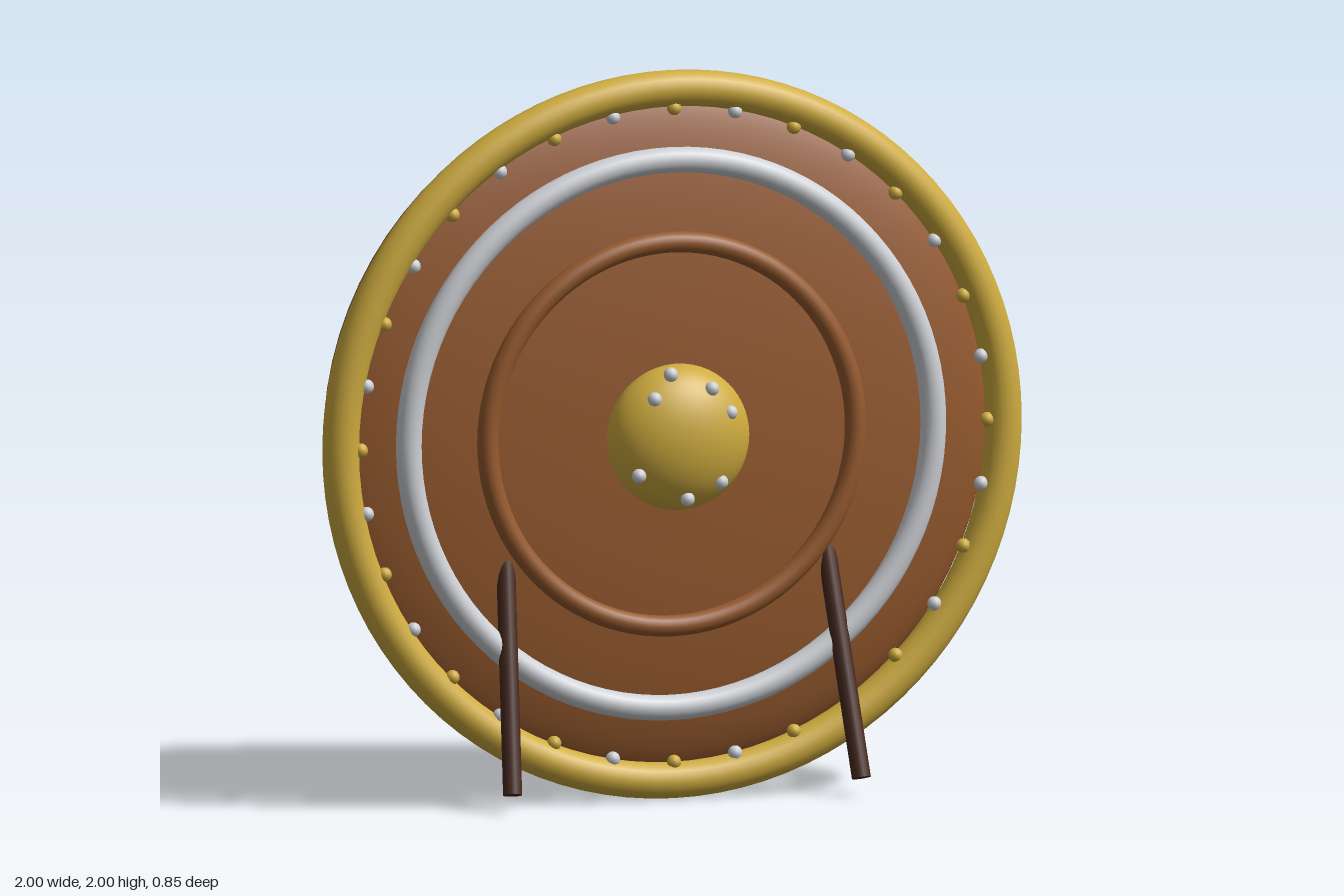
import * as THREE from 'three';

const material = (name, color) => {
  const m = new THREE.MeshStandardMaterial({ color });
  m.name = name;
  return m;
};

export function createModel() {
  const wood = material('wood', 0x965a2e);
  const darkWood = material('darkWood', 0x47291f);
  const gold = material('gold', 0xcfac3f);
  const silver = material('silver', 0xcdd0d5);

  const model = new THREE.Group();
  model.name = 'shieldOnStand';

  // Everything on the shield is placed relative to its centre, 1 above the ground
  const shield = new THREE.Group();
  shield.name = 'shield';
  shield.position.y = 1;
  model.add(shield);

  const add = (parent, name, geometry, mat, x = 0, y = 0, z = 0) => {
    const mesh = new THREE.Mesh(geometry, mat);
    mesh.name = name;
    mesh.position.set(x, y, z);
    parent.add(mesh);
    return mesh;
  };

  // Lens-shaped wooden body
  add(shield, 'body', new THREE.SphereGeometry(1, 64, 40), wood, 0, 0, 0.1).scale.set(0.95, 0.95, 0.15);

  // Concentric rings
  const ring = (name, radius, tube, mat, z) =>
    add(shield, name, new THREE.TorusGeometry(radius, tube, 20, 96), mat, 0, 0, z);
  ring('rim', 0.95, 0.05, gold, 0.248);
  ring('silverRing', 0.752, 0.035, silver, 0.24);
  ring('woodRing', 0.527, 0.029, wood, 0.245);

  // Domed boss in the middle
  add(shield, 'boss', new THREE.SphereGeometry(0.2, 40, 28), gold, 0, 0, 0.3).scale.z = 0.62;

  // Rivets round the inside of the rim, alternately gold and silver
  const stud = new THREE.SphereGeometry(0.02, 12, 8);
  for (let i = 0; i < 32; i++) {
    const a = (i / 32) * Math.PI * 2;
    add(shield, 'rimRivet', stud, i % 2 ? silver : gold, 0.898 * Math.cos(a), 0.898 * Math.sin(a), 0.265);
  }

  // Studs scattered over the boss
  const bossStuds = [
    [-0.048, 0.184], [0.07, 0.14], [0.123, 0.072], [-0.094, 0.118],
    [-0.139, -0.09], [0, -0.16], [0.096, -0.117],
  ];
  for (const [x, y] of bossStuds) add(shield, 'bossStud', stud, silver, x, y, 0.38);

  // Three-legged stand
  const leg = (name, foot, top) => {
    const a = new THREE.Vector3(...foot);
    const b = new THREE.Vector3(...top);
    const direction = b.clone().sub(a);
    const mesh = add(model, name, new THREE.CylinderGeometry(0.026, 0.026, direction.length(), 16), darkWood);
    mesh.position.copy(a).add(b).multiplyScalar(0.5);
    mesh.quaternion.setFromUnitVectors(new THREE.Vector3(0, 1, 0), direction.normalize());
  };
  for (const side of [-1, 1]) leg('frontLeg', [side * 0.5, 0.05, 0.375], [side * 0.41, 1.4, -0.02]);
  leg('backLeg', [0, 0.05, -0.397], [0, 1.41, -0.08]);

  return model;
}
